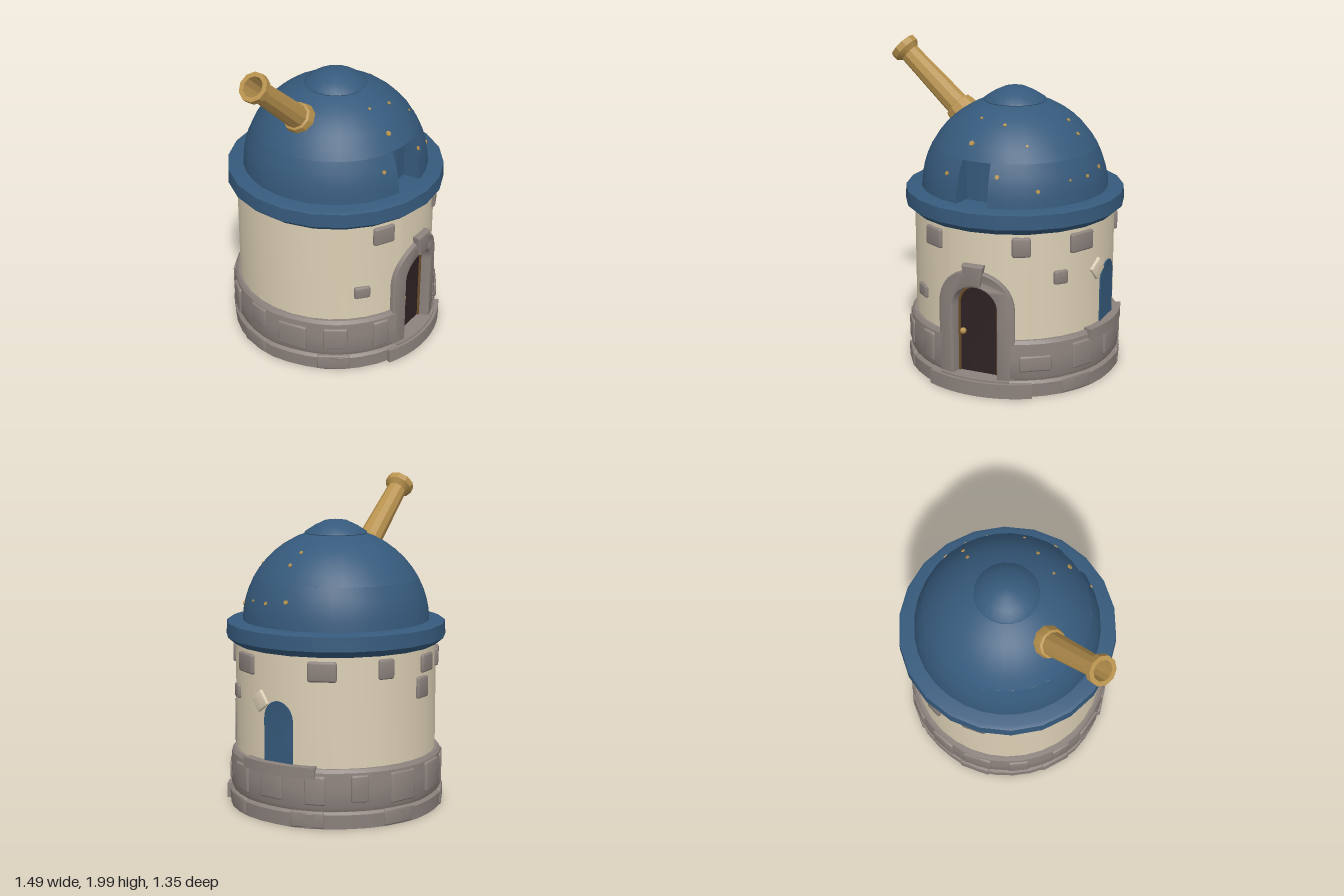
import * as THREE from 'three';
import { toCreasedNormals } from 'three/addons/utils/BufferGeometryUtils.js';
import { RoundedBoxGeometry } from 'three/addons/geometries/RoundedBoxGeometry.js';

const mat = (name, color, side = THREE.FrontSide) => {
  const m = new THREE.MeshStandardMaterial({ color, side });
  m.name = name;
  return m;
};
const WALL = 0.615, DOME = 0.572, DOME_Y = 1.12, DOOR_ANGLE = 0.04;
const domeRadius = (y) => Math.sqrt(DOME * DOME - (y - DOME_Y) ** 2);

// Wraps a flat piece around the tower: x runs along the wall, z is height above radius R.
function bend(geo, R = WALL) {
  const p = geo.attributes.position;
  for (let i = 0; i < p.count; i++) {
    const a = p.getX(i) / R, r = R + p.getZ(i);
    p.setXYZ(i, r * Math.sin(a), p.getY(i), r * Math.cos(a));
  }
  return toCreasedNormals(geo, 0.5);
}

// Turned shape, optionally with an opening of half angle gap at the angle centre.
function turned(points, segments = 30, centre = 0, gap = 0, rough = 0) {
  const geo = new THREE.LatheGeometry(points.map((q) => new THREE.Vector2(...q)),
    segments, centre + gap, Math.PI * 2 - gap * 2);
  const p = geo.attributes.position;
  for (let i = 0; rough && i < p.count; i++) {
    const x = p.getX(i), z = p.getZ(i), a = Math.atan2(x, z);
    if (Math.hypot(x, z) < 0.6) continue;
    const k = 1 + rough * (Math.sin(7 * a + 1) + 0.6 * Math.sin(11 * a));
    p.setXYZ(i, x * k, p.getY(i), z * k);
  }
  return toCreasedNormals(geo, 0.5);
}

// Round-headed outline: half width w, from y0 to the spring line y1.
function archShape(w, y0, y1, rise = w) {
  const s = new THREE.Shape();
  s.moveTo(-w, y0);
  s.lineTo(w, y0);
  s.lineTo(w, y1);
  for (let i = 1; i <= 16; i++) {
    const a = (i / 16) * Math.PI;
    s.lineTo(w * Math.cos(a), y1 + rise * Math.sin(a));
  }
  return s;
}
// Arch band open at the bottom.
function archBand(outer, inner, y0, y1) {
  const s = new THREE.Shape();
  s.moveTo(inner, y0);
  s.lineTo(outer, y0);
  for (let i = 0; i <= 18; i++) {
    const a = (i / 18) * Math.PI;
    s.lineTo(outer * Math.cos(a), y1 + outer * Math.sin(a));
  }
  s.lineTo(-outer, y0);
  s.lineTo(-inner, y0);
  for (let i = 18; i >= 0; i--) {
    const a = (i / 18) * Math.PI;
    s.lineTo(inner * Math.cos(a), y1 + inner * Math.sin(a));
  }
  return s;
}
function extrude(shape, depth, bevel = 0) {
  return new THREE.ExtrudeGeometry(shape, {
    depth, bevelEnabled: bevel > 0, bevelSize: bevel, bevelThickness: bevel, bevelSegments: 2,
  });
}

export function createModel() {
  const stone = mat('stone', 0x8c827d), plaster = mat('cream plaster', 0xdccfb4);
  const blue = mat('roof blue', 0x365a7c, THREE.DoubleSide), gold = mat('brass', 0xb8924e);
  const wood = mat('dark wood', 0x2f2224), bronze = mat('dark bronze', 0x6b4f2c);

  const model = new THREE.Group();
  const tower = new THREE.Group();
  tower.name = 'tower';
  tower.position.x = 0.077;
  model.add(tower);
  const add = (name, geo, material, parent = tower, angle = 0) => {
    const m = new THREE.Mesh(geo, material);
    m.name = name;
    m.rotation.y = angle;
    parent.add(m);
    return m;
  };

  // Foundation courses and hollow interior
  add('foundation', turned([[0.47, 0], [0.655, 0], [0.66, 0.085], [0.645, 0.1], [0.47, 0.1]], 36, 0, 0, 0.004), stone);
  add('upperCourse', turned([[0.6, 0.1], [0.638, 0.1], [0.65, 0.125], [0.653, 0.24], [0.645, 0.33],
    [0.63, 0.35], [0.6, 0.352]], 36, DOOR_ANGLE, 0.35, 0.004), stone);
  add('interior', turned([[0, 0.99], [0.47, 0.99], [0.47, 0]]), stone);
  add('innerPanel', bend(new THREE.PlaneGeometry(0.32, 0.6, 6, 1).translate(0, 0.4, 0), 0.46), blue, tower, 0.12);
  add('innerPost', new THREE.BoxGeometry(0.04, 0.6, 0.03).translate(0, 0.4, 0.45), stone, tower, 0.03);

  // Raised foundation stones
  let seed = 7;
  const rand = () => (seed = (seed * 16807) % 2147483647) / 2147483647;
  for (let i = 0; i < 13; i++) {
    const a = 0.6 + i * 0.43, h = 0.1 + rand() * 0.09;
    const block = new RoundedBoxGeometry(0.1 + rand() * 0.1, h, 0.04, 2, 0.012);
    block.translate(0, 0.13 + h / 2 + rand() * (0.2 - h), 0);
    add('foundationStone', bend(block, 0.641), stone, tower, a + rand() * 0.1);
    if (i % 2) add('footStone', bend(new RoundedBoxGeometry(0.2, 0.1, 0.04, 2, 0.012).translate(0, 0.052, 0), 0.645), stone, tower, a);
  }

  // Plastered wall, with the piece over the doorway shaped to the arch
  const gap = 0.17 / WALL;
  add('wall', turned([[WALL, 0.08], [WALL, 1.02]], 30, DOOR_ANGLE, gap), plaster);
  const over = new THREE.PlaneGeometry(0.34, 1, 20, 1);
  const op = over.attributes.position;
  for (let i = 0; i < op.count; i++) {
    const x = op.getX(i);
    op.setY(i, op.getY(i) > 0 ? 1.02 : 0.53 + Math.sqrt(Math.max(0, 0.17 ** 2 - x * x)));
  }
  add('wallOverDoor', bend(over), plaster, tower, DOOR_ANGLE);

  // Wall stones: angle, height, width, tall
  [[-0.45, 0.92, 0.14, 0.12], [0.49, 0.925, 0.11, 0.12], [1.12, 0.92, 0.17, 0.12], [2.02, 0.92, 0.17, 0.12],
    [2.64, 0.925, 0.1, 0.12], [3.21, 0.92, 0.13, 0.11], [3.12, 0.78, 0.11, 0.13], [3.62, 0.92, 0.15, 0.11],
    [0.88, 0.725, 0.09, 0.085], [-0.67, 0.54, 0.1, 0.08]].forEach(([a, y, w, h]) => {
    add('wallStone', bend(new RoundedBoxGeometry(w, h, 0.04, 2, 0.014).translate(0, y, -0.002)), stone, tower, a);
  });

  // Doorway
  const door = new THREE.Group();
  door.name = 'doorway';
  door.rotation.y = DOOR_ANGLE;
  tower.add(door);
  add('doorArch', bend(extrude(archBand(0.23, 0.15, 0.09, 0.53), 0.075, 0.012).translate(0, 0, -0.06)), stone, door);
  const key = new THREE.Shape([[-0.035, 0.69], [0.035, 0.69], [0.055, 0.8], [-0.055, 0.8]].map((q) => new THREE.Vector2(...q)));
  add('keystone', bend(extrude(key, 0.05, 0.01).translate(0, 0, -0.015)), stone, door);
  add('doorRim', bend(extrude(archBand(0.142, 0.126, 0.09, 0.525), 0.02).translate(0, 0, -0.055)), bronze, door);
  add('doorLeaf', bend(extrude(archShape(0.135, 0.09, 0.525), 0.02).translate(0, 0, -0.065)), wood, door);
  const knob = add('doorKnob', new THREE.SphereGeometry(0.02, 10, 8), gold, door);
  knob.position.set(-0.095, 0.36, 0.575);
  add('doorstep', bend(new THREE.BoxGeometry(0.68, 0.09, 0.12, 10, 1, 1).translate(0.03, 0.045, -0.06), 0.68), stone, door);
  add('stepSlab', bend(new THREE.BoxGeometry(0.46, 0.03, 0.1, 8, 1, 1).translate(0, 0.085, -0.06), 0.67), stone, door);

  // Side window with sill and a loose tilted stone
  const side = Math.PI / 2;
  add('windowPane', bend(extrude(archShape(0.1, 0.36, 0.615, 0.115), 0.008).translate(0, 0, -0.001)), blue, tower, side);
  add('windowSill', bend(new THREE.BoxGeometry(0.5, 0.065, 0.06, 10, 1, 1).translate(0, 0.332, 0), 0.636), stone, tower, side);
  add('tiltedStone', bend(new RoundedBoxGeometry(0.1, 0.1, 0.03, 2, 0.008).rotateZ(0.65).translate(-0.135, 0.715, 0)), plaster, tower, side);

  // Roof ring and dome with a notch in front
  add('roofRing', turned([[0.45, 1], [0.625, 1.005], [0.672, 1.045], [0.668, 1.13], [0.645, 1.14], [0.44, 1.143]], 22), blue);
  const low = [1.14, 1.2, 1.26, 1.32, 1.39].map((y) => [domeRadius(y), y]);
  const high = [1.39, 1.45, 1.51, 1.56, 1.6, 1.64, 1.67].map((y) => [domeRadius(y), y]);
  const notch = -0.035, half = 0.182, back = 0.465;
  add('domeBand', turned(low, 30, notch, half), blue);
  add('domeTop', turned(high, 30, notch + half), blue);
  add('notchBack', new THREE.LatheGeometry([[back, 1.14], [back, 1.39], [domeRadius(1.39), 1.39]]
    .map((q) => new THREE.Vector2(...q)), 2, notch - half, half * 2).toNonIndexed(), blue).geometry.computeVertexNormals();
  const cheek = new THREE.Shape([[back, 1.14], ...low, [back, 1.39]].map((q) => new THREE.Vector2(...q)));
  for (const s of [-1, 1]) {
    add('notchSide', new THREE.ShapeGeometry(cheek), blue, tower, notch + s * half - Math.PI / 2);
  }
  add('domeCap', turned([[0.17, 1.63], [0.192, 1.662], [0.185, 1.673], [0.13, 1.708], [0.065, 1.738], [0, 1.745]], 20), blue);

  // Gold stars on the dome: angle, height, size
  [[-0.17, 1.48, 0.017], [-0.39, 1.3, 0.013], [0.236, 1.32, 0.014], [0.667, 1.24, 0.013], [-0.25, 1.6, 0.009],
    [0.256, 1.58, 0.011], [0.586, 1.48, 0.008], [1.05, 1.28, 0.007], [1.31, 1.28, 0.012], [1.59, 1.3, 0.014],
    [1.48, 1.5, 0.012], [1.54, 1.57, 0.012]].forEach(([a, y, size]) => {
    const r = domeRadius(y);
    const star = add('domeStar', new THREE.CylinderGeometry(size, size, 0.009, 6), gold);
    star.position.set(r * Math.sin(a), y, r * Math.cos(a));
    const normal = star.position.clone().setY(y - DOME_Y).normalize();
    star.quaternion.setFromUnitVectors(new THREE.Vector3(0, 1, 0), normal);
  });

  // Telescope: hollow flared tube leaning out of the dome
  const scope = add('telescope', turned([[0, 0], [0.098, 0], [0.098, 0.11], [0.088, 0.15], [0.074, 0.155], [0.07, 0.3],
    [0.062, 0.59], [0.075, 0.605], [0.09, 0.62], [0.09, 0.66], [0.062, 0.66], [0.05, 0.5], [0, 0.5]], 10), gold, model);
  scope.position.set(-0.2, 1.49, 0);
  scope.quaternion.setFromUnitVectors(new THREE.Vector3(0, 1, 0), new THREE.Vector3(-0.745, 0.667, 0).normalize());

  return model;
}
